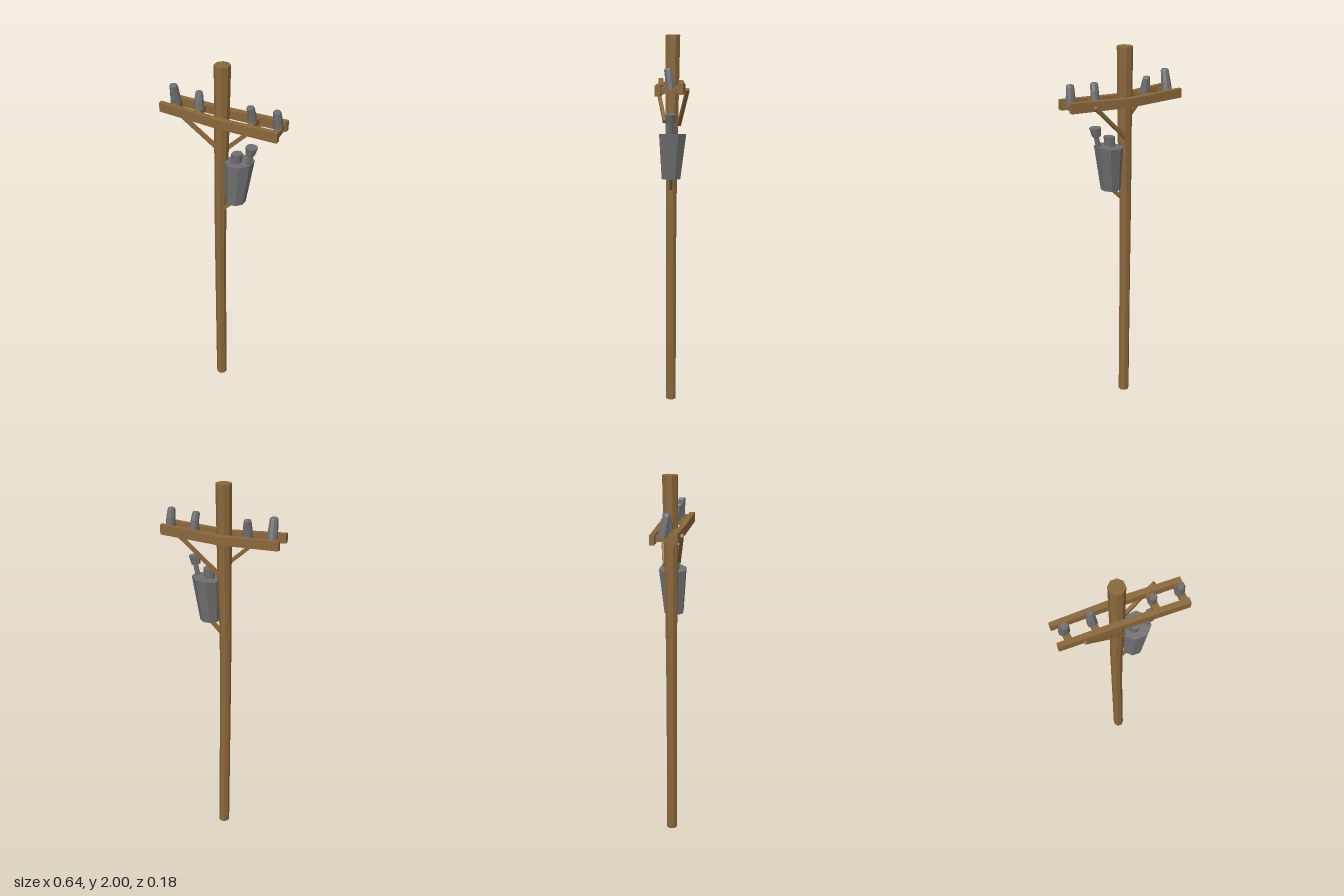
import * as THREE from 'three';

const wood = new THREE.MeshStandardMaterial({ color: 0x8a673a, flatShading: true });
wood.name = 'wood';
const metal = new THREE.MeshStandardMaterial({ color: 0x6f6f71, flatShading: true });
metal.name = 'greyMetal';

// Skin a list of equal-sized cross-sections and cap both ends
function loft(name, sections, material) {
  const n = sections[0].length;
  const last = (sections.length - 1) * n;
  const index = [];
  for (let i = 0; i < sections.length - 1; i++) {
    for (let j = 0; j < n; j++) {
      const a = i * n + j, b = i * n + (j + 1) % n;
      index.push(a, a + n, b, b, a + n, b + n);
    }
  }
  for (let j = 1; j < n - 1; j++) {
    index.push(0, j, j + 1, last, last + j + 1, last + j);
  }
  const indexed = new THREE.BufferGeometry();
  indexed.setAttribute('position', new THREE.Float32BufferAttribute(sections.flat(2), 3));
  indexed.setIndex(index);
  const geometry = indexed.toNonIndexed();
  geometry.computeVertexNormals();
  const mesh = new THREE.Mesh(geometry, material);
  mesh.name = name;
  return mesh;
}

// Octagonal ring; slope lifts the +x side
function ring(x, y, z, r, slope = 0) {
  return Array.from({ length: 8 }, (_, i) => {
    const a = (i + 0.5) * Math.PI / 4;
    const dx = r * 1.05 * Math.cos(a);
    return [x + dx, y + dx * slope, z + r * 1.05 * Math.sin(a)];
  });
}

// Rectangular section of a beam running along x
const rect = (x, y0, y1, z0, z1) => [[x, y0, z1], [x, y1, z1], [x, y1, z0], [x, y0, z0]];

// Square bar between two points
function bar(name, from, to, width, depth) {
  const a = new THREE.Vector3(...from), b = new THREE.Vector3(...to);
  const mesh = new THREE.Mesh(new THREE.BoxGeometry(width, depth, a.distanceTo(b)), wood);
  mesh.position.copy(a).lerp(b, 0.5);
  mesh.lookAt(b);
  mesh.name = name;
  return mesh;
}

export function createModel() {
  const model = new THREE.Group();
  model.name = 'utilityPole';

  // Slightly crooked pole, thicker at the top
  model.add(loft('pole', [
    ring(-0.01, 0, 0.005, 0.028),
    ring(-0.017, 0.8, 0.004, 0.028),
    ring(-0.018, 1.2, 0.002, 0.03),
    ring(-0.012, 1.55, 0, 0.035),
    ring(-0.01, 2, -0.006, 0.039),
  ], wood));

  // Pair of bent cross beams
  model.add(loft('frontCrossBeam', [
    rect(-0.32, 1.718, 1.767, 0.048, 0.073),
    rect(0, 1.70, 1.747, 0.041, 0.071),
    rect(0.32, 1.708, 1.76, 0.055, 0.083),
  ], wood));
  model.add(loft('backCrossBeam', [
    rect(-0.32, 1.711, 1.758, -0.062, -0.038),
    rect(0, 1.705, 1.75, -0.071, -0.039),
    rect(0.32, 1.715, 1.767, -0.055, -0.028),
  ], wood));

  // Spacer and leaning insulator: base x, z, top x, z, height, base and top radius
  const insulators = [
    [-0.267, -0.005, -0.266, 0.016, 1.852, 0.027, 0.02],
    [-0.134, 0.004, -0.138, -0.008, 1.833, 0.025, 0.018],
    [0.158, 0.004, 0.153, 0.02, 1.832, 0.021, 0.019],
    [0.293, 0.006, 0.289, 0.017, 1.84, 0.024, 0.019],
  ];
  for (const [x, z, tx, tz, y, r, tr] of insulators) {
    model.add(bar('spacer', [x, 1.735, -0.05], [x + 0.006, 1.735, 0.06], 0.033, 0.03));
    model.add(loft('insulator', [
      ring(x, 1.74, z, r),
      ring((x + tx) / 2, 1.795, (z + tz) / 2, (r + tr) / 2),
      ring(tx, y - 0.008, tz, tr),
      ring(tx, y, tz, tr * 0.85),
    ], metal));
  }

  // Diagonal braces, one in front and one behind
  model.add(bar('frontBrace', [-0.195, 1.735, 0.078], [0.008, 1.557, 0.037], 0.018, 0.018));
  model.add(bar('backBrace', [0.205, 1.735, -0.079], [0.003, 1.54, -0.038], 0.018, 0.018));

  // Transformer can with its bushings and support
  model.add(loft('transformerCan', [
    ring(0.071, 1.266, 0.004, 0.05),
    ring(0.087, 1.502, -0.005, 0.072, 0.11),
  ], metal));
  model.add(loft('shortBushing', [
    ring(0.072, 1.48, 0.004, 0.024),
    ring(0.075, 1.515, 0.005, 0.026),
    ring(0.077, 1.55, 0.006, 0.028, 0.08),
  ], metal));
  model.add(loft('bushingStem', [
    ring(0.137, 1.49, 0.005, 0.012),
    ring(0.155, 1.57, 0.007, 0.013),
  ], metal));
  model.add(loft('bushingCap', [
    ring(0.15, 1.563, 0.006, 0.022, -0.15),
    ring(0.158, 1.608, 0.007, 0.029, -0.08),
  ], metal));
  model.add(bar('transformerBracket', [-0.005, 1.193, 0.003], [0.075, 1.272, 0.003], 0.016, 0.02));

  return model;
}
